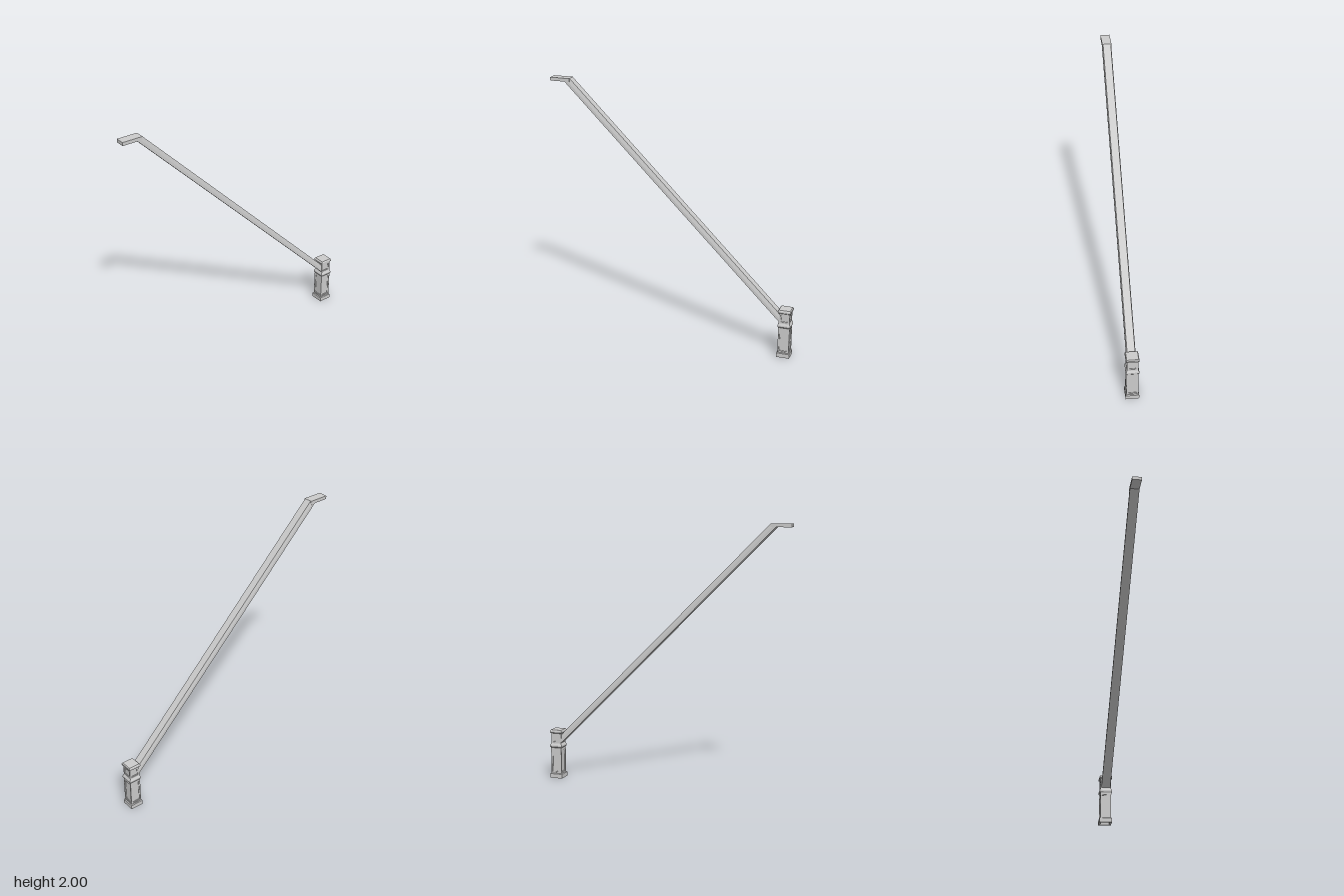
import * as THREE from 'three';

const material = new THREE.MeshStandardMaterial({ color: 0xcccccc, flatShading: true, side: THREE.DoubleSide });
const POST_Z = -0.897;

function part(name, geometry, parent) {
  const mesh = new THREE.Mesh(geometry, material);
  mesh.name = name;
  parent.add(mesh);
  return mesh;
}

// Square moulding: [half width, height] profile swept round four sides
function squareTurned(profile) {
  const points = profile.map(([h, y]) => new THREE.Vector2(h * Math.SQRT2, y));
  const g = new THREE.LatheGeometry(points, 4, Math.PI / 4).toNonIndexed();
  g.computeVertexNormals();
  return g;
}

function rect(Type, w, y0, y1) {
  const r = new Type();
  r.moveTo(-w, y0);
  r.lineTo(w, y0);
  r.lineTo(w, y1);
  r.lineTo(-w, y1);
  r.closePath();
  return r;
}

// Rectangular frame with a hole, facing +z
function frame(w, y0, y1, border, borderY, depth) {
  const shape = rect(THREE.Shape, w, y0, y1);
  shape.holes.push(rect(THREE.Path, w - border, y0 + borderY, y1 - borderY));
  return new THREE.ExtrudeGeometry(shape, { depth, bevelEnabled: false });
}

// Four recessed panels, each with a stepped inner bead
function panels(name, w, y0, y1, border, borderY, core, parent) {
  const outer = frame(w, y0, y1, border, borderY, w - core);
  const bead = frame(w - border, y0 + borderY, y1 - borderY, 0.004, 0.004, (w - core) / 2);
  for (let i = 0; i < 4; i++) {
    const side = new THREE.Group();
    side.name = name;
    side.rotation.y = i * Math.PI / 2;
    part(name + 'Frame', outer, side).position.z = core;
    part(name + 'Bead', bead, side).position.z = core;
    parent.add(side);
  }
}

// Vertical rail section pushed along z, sheared to the 45 degree slope, cut level at the top
function slopedRail(z0, z1) {
  const section = new THREE.Shape([
    [-0.035, 1.14], [0.035, 1.14], [0.035, 1.168], [0.029, 1.205], [-0.029, 1.205], [-0.035, 1.168],
  ].map(([x, y]) => new THREE.Vector2(x, y)));
  const g = new THREE.ExtrudeGeometry(section, { depth: z1 - z0, bevelEnabled: false });
  g.translate(0, 0, z0);
  const p = g.attributes.position;
  for (let i = 0; i < p.count; i++) p.setY(i, Math.min(2, p.getY(i) + p.getZ(i)));
  g.computeVertexNormals();
  return g;
}

export function createModel() {
  const model = new THREE.Group();
  model.name = 'stairHandrail';

  // Newel post, hollow and open underneath
  const post = new THREE.Group();
  post.name = 'newelPost';
  post.position.z = POST_Z;
  model.add(post);
  part('postBody', squareTurned([
    [0.036, 0], [0.05, 0], [0.05, 0.033], [0.044, 0.038], [0.037, 0.038], [0.037, 0.235],
    [0.043, 0.235], [0.043, 0.242], [0.049, 0.25], [0.049, 0.262], [0.041, 0.277],
    [0.035, 0.277], [0.035, 0.357],
    [0.041, 0.357], [0.049, 0.364], [0.049, 0.376], [0.043, 0.385], [0, 0.385],
  ]), post);
  part('postInside', squareTurned([[0.036, 0], [0.034, 0.03], [0.034, 0.24]]), post);
  panels('shaftPanel', 0.043, 0.037, 0.236, 0.01, 0.012, 0.037, post);
  panels('upperPanel', 0.041, 0.276, 0.358, 0.013, 0.013, 0.035, post);

  // Rail, its level-cut tip and the flat landing piece
  part('railSlope', slopedRail(-0.857, 0.795), model);
  part('railTip', slopedRail(0.795, 0.835), model);
  const landing = new THREE.BoxGeometry(0.07, 0.025, 0.155);
  part('railLanding', landing, model).position.set(0, 1.9875, 0.8725);

  return model;
}
